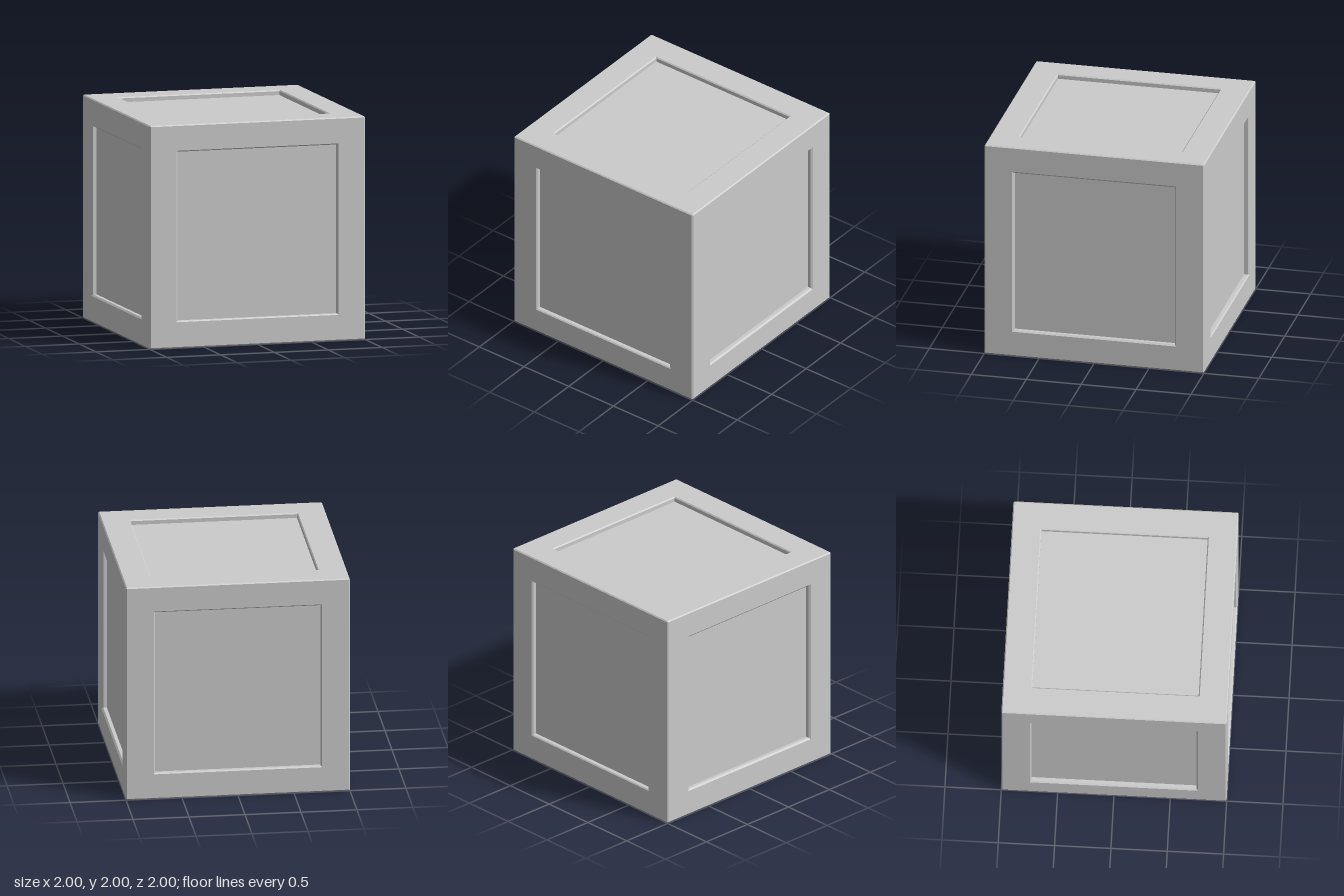
import * as THREE from 'three';

const CHAMFER = 0.01; // outer edge bevel
const DEPTH = 0.045;  // recess depth

// One cube side facing +z: nested rectangles [halfWidth, halfHeight, z] joined by quads.
function sideGeometry(w, h, lip) {
  const edge = 1 - CHAMFER / 2;
  const rings = [
    [edge, edge, edge],                  // middle of the chamfered edge
    [1 - CHAMFER, 1 - CHAMFER, 1],       // frame, outer
    [w, h, 1],                           // frame, inner
    [w - lip, h - lip, 1 - lip],         // bevelled lip of the recess
    [w - lip, h - lip, 1 - DEPTH],       // recess wall down to the panel
  ].map(([x, y, z]) => [[-x, -y, z], [x, -y, z], [x, y, z], [-x, y, z]]);

  const points = [];
  const quad = (a, b, c, d) => points.push(...a, ...b, ...c, ...a, ...c, ...d);
  for (let r = 0; r < rings.length - 1; r++) {
    for (let i = 0; i < 4; i++) {
      const j = (i + 1) % 4;
      quad(rings[r][i], rings[r][j], rings[r + 1][j], rings[r + 1][i]);
    }
  }
  quad(...rings[rings.length - 1]); // recessed panel

  const geometry = new THREE.BufferGeometry();
  geometry.setAttribute('position', new THREE.Float32BufferAttribute(points, 3));
  geometry.computeVertexNormals();
  return geometry;
}

export function createModel() {
  const group = new THREE.Group();
  group.name = 'panelledCube';
  const material = new THREE.MeshStandardMaterial({ color: 0xcccccc, flatShading: true });

  const frontBack = sideGeometry(0.752, 0.768, 0.01);
  const leftRight = sideGeometry(0.747, 0.768, 0.014);
  const topBottom = sideGeometry(0.754, 0.748, 0.01);

  // Name, geometry, rotation about x, rotation about y
  const sides = [
    ['frontSide', frontBack, 0, 0],
    ['backSide', frontBack, 0, Math.PI],
    ['leftSide', leftRight, 0, Math.PI / 2],
    ['rightSide', leftRight, 0, -Math.PI / 2],
    ['topSide', topBottom, -Math.PI / 2, 0],
    ['bottomSide', topBottom, Math.PI / 2, 0],
  ];
  for (const [name, geometry, rx, ry] of sides) {
    const mesh = new THREE.Mesh(geometry, material);
    mesh.name = name;
    mesh.rotation.set(rx, ry, 0);
    mesh.position.y = 1;
    group.add(mesh);
  }
  return group;
}
